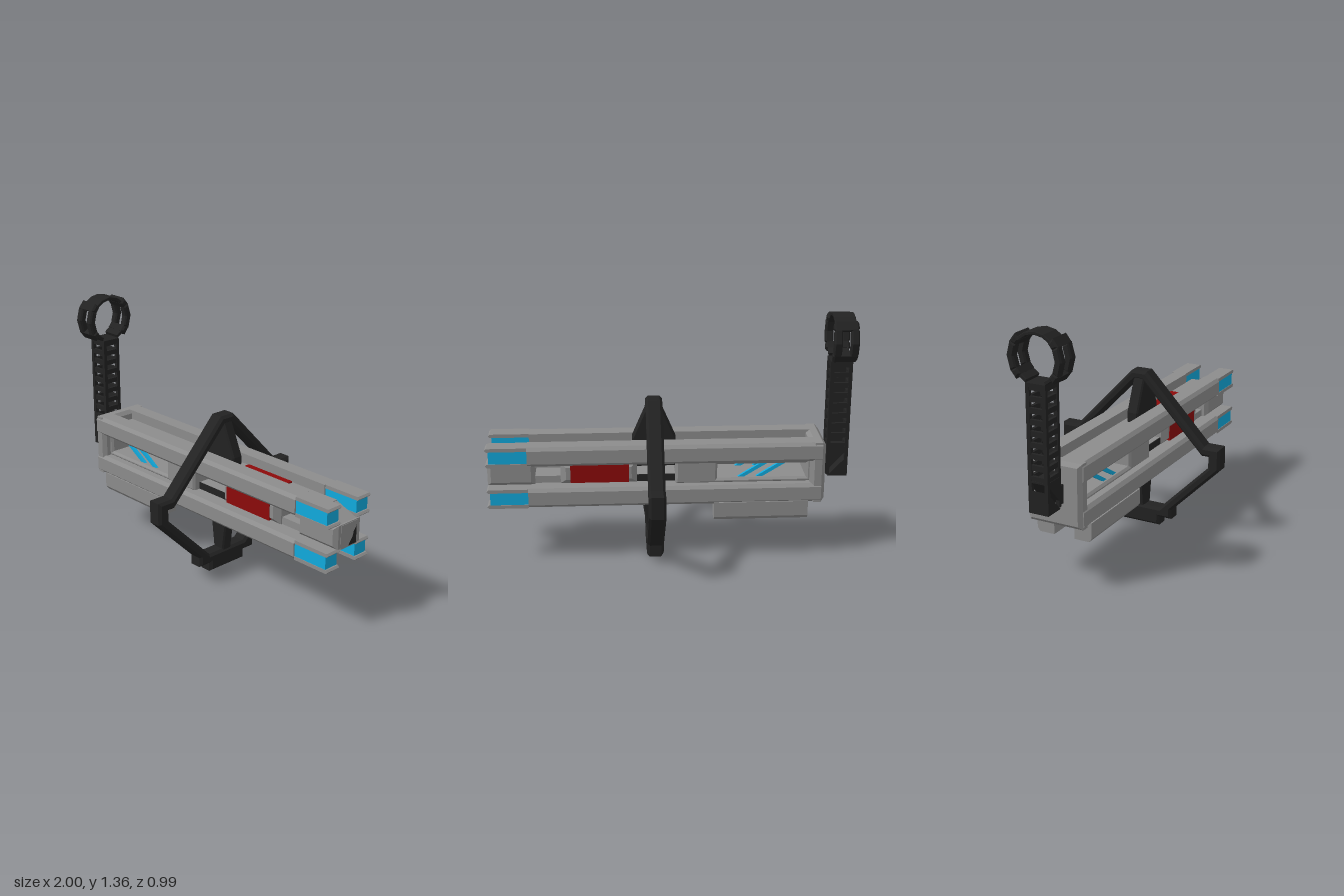
import * as THREE from 'three';

const mat = (color) => new THREE.MeshStandardMaterial({ color, flatShading: true });

export function createModel() {
  const model = new THREE.Group();
  const grey = mat(0x8c8c8c), black = mat(0x222222), cyan = mat(0x11aadd), red = mat(0x8c0a0a);

  function add(name, geometry, material) {
    const mesh = new THREE.Mesh(geometry, material);
    mesh.name = name;
    model.add(mesh);
    return mesh;
  }
  // Box given by its limits on each axis
  function box(name, material, [x0, x1], [y0, y1], [z0, z1]) {
    const g = new THREE.BoxGeometry(x1 - x0, y1 - y0, z1 - z0);
    g.translate((x0 + x1) / 2, (y0 + y1) / 2, (z0 + z1) / 2);
    return add(name, g, material);
  }
  const outline = (pts) => new THREE.Shape(pts.map(([a, b]) => new THREE.Vector2(a, b)));
  const rect = (x0, x1, y0, y1) => [[x0, y0], [x1, y0], [x1, y1], [x0, y1]];
  // Plate with chamfered rims, from depth d0 to d1 along z
  function plate(pts, holes, d0, d1, bevel = 0) {
    const shape = outline(pts);
    shape.holes = holes.map(outline);
    const g = new THREE.ExtrudeGeometry(shape, {
      depth: d1 - d0 - 2 * bevel, bevelEnabled: bevel > 0, bevelSize: bevel,
      bevelThickness: bevel, bevelOffset: -bevel, bevelSegments: 1, curveSegments: 6,
    });
    return g.translate(0, 0, d0 + bevel);
  }
  // The same, with the outline in the (-z, y) plane and the depth along x
  const crossPlate = (...args) => plate(...args).rotateY(Math.PI / 2);
  const mirrored = (half) => [...half, ...half.map(([a, b]) => [-a, b]).reverse()];

  // Rear hull block
  add('rearHull', crossPlate(rect(-0.155, 0.155, 0.325, 0.675), [], -0.85, -0.77, 0.02), grey);

  // Four long rails with cyan tips held between two flanges
  for (const s of [-1, 1]) {
    for (const [y0, y1] of [[0.565, 0.675], [0.325, 0.435]]) {
      const z = s > 0 ? [0.06, 0.16] : [-0.16, -0.06];
      const c = 0.018, out = -s * 0.16, inn = -s * 0.06, o = s * c;
      const section = [[out, y0 + c], [out + o, y0], [inn, y0], [inn, y1], [out + o, y1], [out, y1 - c]];
      add('rail', crossPlate(s > 0 ? section : section.reverse(), [], -0.83, 0.775), grey);
      for (const y of [y0, y1 - 0.02]) {
        add('railFlange', plate([[0.775, y], [0.99, y], [1, y + 0.01], [0.99, y + 0.02], [0.775, y + 0.02]],
          [], z[0] + 0.005, z[1] - 0.005), grey);
      }
      box('railTip', cyan, [0.77, 0.982], [y0 + 0.018, y1 - 0.018], [z[0] + 0.008, z[1] - 0.008]);
    }
    // Lower skirt, chamfered on its outer edge
    const skirt = [[-s * 0.06, 0.335], [-s * 0.06, 0.23], [-s * 0.145, 0.23], [-s * 0.16, 0.25], [-s * 0.16, 0.335]];
    add('skirt', crossPlate(skirt, [], -0.76, -0.24), grey);
    // Side panel framing the window
    add('sidePanel', plate(rect(-0.79, -0.03, 0.43, 0.57), [rect(-0.75, -0.26, 0.46, 0.54)],
      s > 0 ? 0.05 : -0.11, s > 0 ? 0.11 : -0.05, 0.012), grey);
    // Diagonal struts across the window
    for (const x of [-0.66, -0.56]) {
      add('windowStrut', plate([[x, 0.55], [x + 0.165, 0.45], [x + 0.2, 0.45], [x + 0.04, 0.55]],
        [], s * 0.08 - 0.008, s * 0.08 + 0.008), cyan);
    }
  }

  // Core beam pierced by the window and two gaps
  add('coreBeam', plate(rect(-0.78, 0.86, 0.38, 0.62), [
    rect(-0.75, -0.26, 0.46, 0.54), rect(-0.03, 0.2, 0.475, 0.525), rect(0.585, 0.74, 0.475, 0.525),
  ], -0.062, 0.062), grey);

  // Nose with sloped top and bottom, side cheeks and a dark end panel
  add('nose', plate([[0.85, 0.38], [1, 0.43], [1, 0.56], [0.85, 0.62]], [], -0.062, 0.062), grey);
  add('noseCheeks', plate(rect(0.74, 0.998, 0.435, 0.565), [], -0.1, 0.1, 0.02), grey);
  box('noseEndPanel', black, [0.98, 1], [0.435, 0.545], [-0.055, 0.055]);

  // Red power block inside grey frames
  add('powerFrame', plate(rect(0.18, 0.6, 0.435, 0.565), [], -0.1, 0.1, 0.03), grey);
  box('powerBlockSides', red, [0.225, 0.545], [0.448, 0.552], [-0.105, 0.105]);
  box('powerBlockTop', red, [0.235, 0.555], [0.372, 0.628], [-0.055, 0.055]);

  // Diamond shaped brace around the hull
  const outer = mirrored([[0.13, 0], [0.13, 0.05], [0.205, 0.05], [0.205, 0.105], [0.495, 0.395],
    [0.495, 0.52], [0.4, 0.52], [0.045, 0.895]]);
  const inner = mirrored([[0.13, 0.105], [0.425, 0.4], [0.425, 0.465], [0.385, 0.465], [0.02, 0.845]]);
  add('brace', crossPlate(outer, [inner], 0.038, 0.13, 0.014), black);
  // Fins joining the brace to the hull
  add('upperFin', plate([[-0.035, 0.6], [0.205, 0.6], [0.205, 0.675], [0.125, 0.86], [0.045, 0.86], [-0.035, 0.675]],
    [], -0.033, 0.033, 0.008), black);
  add('lowerFin', plate([[0.05, 0.08], [0.12, 0.08], [0.155, 0.33], [0.155, 0.4], [0.02, 0.4], [0.02, 0.33]],
    [], -0.033, 0.033, 0.008), black);
  for (const y of [0.548, 0.452]) {
    box('finCollar', black, [-0.03, 0.2], [y - 0.022, y + 0.022], [-0.066, 0.066]);
  }

  // Lattice mast: corner posts, rungs and a foot
  for (const x of [-0.98, -0.88]) {
    for (const z of [-0.046, 0.046]) {
      box('mastPost', black, [x - 0.01, x + 0.01], [0.45, 1.1], [z - 0.01, z + 0.01]);
    }
  }
  for (let i = 0; i < 9; i++) {
    const y = 0.62 + i * 0.058;
    for (const z of [-0.046, 0.046]) {
      box('mastSideRung', black, [-0.98, -0.88], [y - 0.014, y + 0.014], [z - 0.008, z + 0.008]);
    }
    for (const x of [-0.98, -0.88]) {
      box('mastCrossRung', black, [x - 0.008, x + 0.008], [y - 0.014, y + 0.014], [-0.046, 0.046]);
    }
  }
  box('mastCap', black, [-0.99, -0.87], [1.085, 1.105], [-0.056, 0.056]);
  add('mastFoot', plate([[-0.99, 0.44], [-0.88, 0.44], [-0.99, 0.56]], [], -0.056, 0.056), black);
  add('mastBracket', plate([[-0.99, 0.6], [-0.865, 0.46], [-0.84, 0.46], [-0.84, 0.56], [-0.87, 0.56], [-0.87, 0.61], [-0.99, 0.61]],
    [], -0.056, 0.056), black);

  // Open hoop on the mast, its thick sides slotted
  const arc = (a0, a1, r0, r1, n) => {
    const at = (r, t) => {
      const a = THREE.MathUtils.degToRad(a0 + (a1 - a0) * t);
      return [r * Math.cos(a), 1.227 + r * Math.sin(a)];
    };
    const pts = [];
    for (let i = 0; i <= n; i++) pts.push(at(r1, i / n));
    for (let i = n; i >= 0; i--) pts.push(at(r0, i / n));
    return pts;
  };
  add('hoopTop', crossPlate(arc(44, 136, 0.115, 0.133, 4), [], -0.99, -0.875, 0.003), black);
  for (const turn of [0, 180]) {
    const flip = turn ? -1 : 1;
    for (const [a0, a1] of [[28, 47], [-47, -28]]) {
      add('hoopSide', crossPlate(arc(turn + flip * a0, turn + flip * a1, 0.113, 0.153, 1), [], -1, -0.865, 0.01), black);
    }
    for (const [x0, x1] of [[-1, -0.955], [-0.91, -0.865]]) {
      add('hoopSlotRim', crossPlate(arc(turn - 29, turn + 29, 0.113, 0.153, 2), [], x0, x1, 0.008), black);
    }
    add('hoopFoot', crossPlate(arc(turn - flip * 66, turn - flip * 44, 0.115, 0.135, 1), [], -0.99, -0.875, 0.003), black);
  }
  return model;
}
